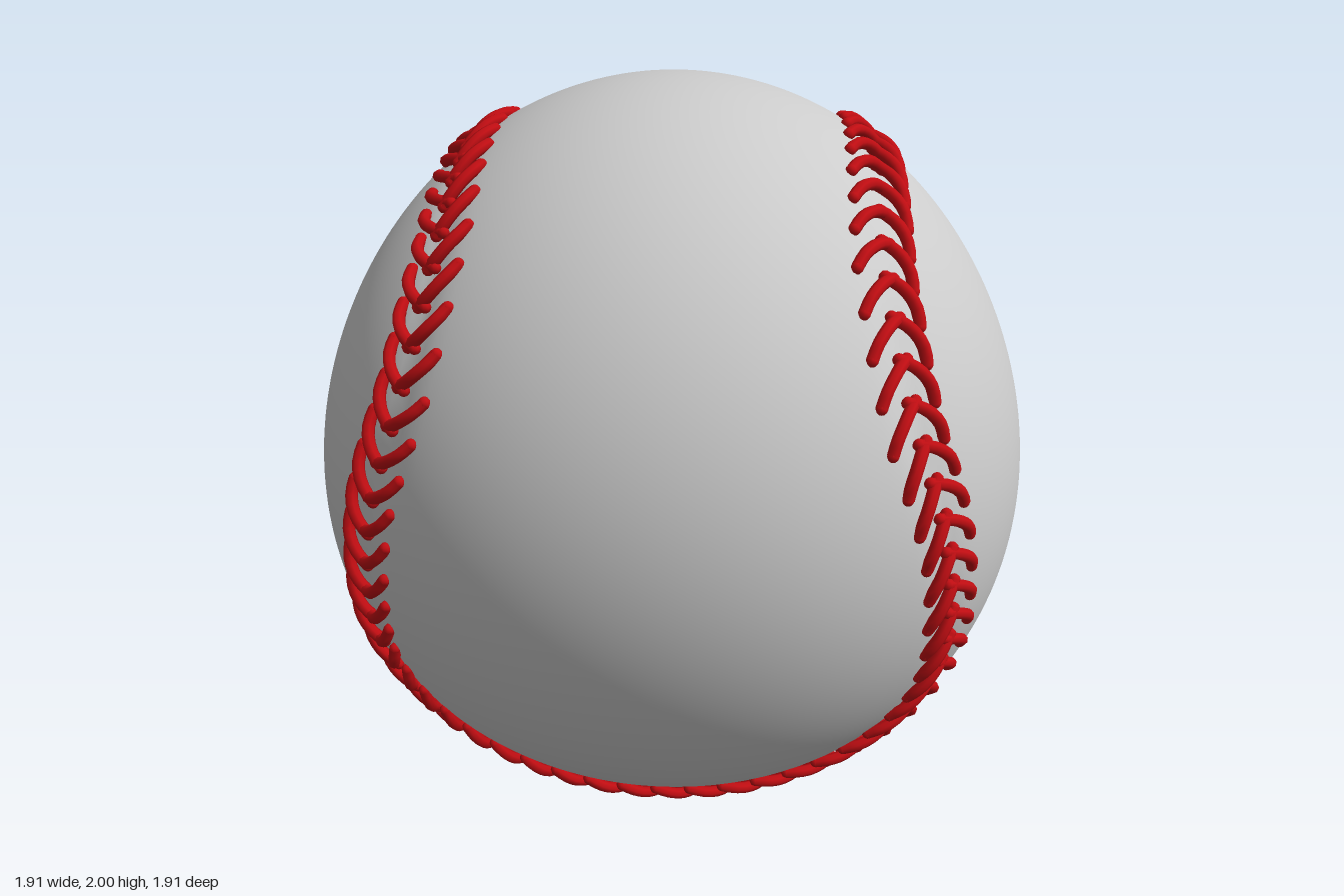
import * as THREE from 'three';
import { mergeGeometries, mergeVertices } from 'three/addons/utils/BufferGeometryUtils.js';

const STITCHES = 108;

// Seam: one eighth-pair of the closed loop, repeated by a quarter turn with an up/down flip.
function makeSeam() {
  const half = [[0.52, 0.85, 0], [0.52, 0.8, 0.3], [0.53, 0.66, 0.54], [0.585, 0.41, 0.7]];
  const quarter = [
    ...half,
    [0.707, 0, 0.707],
    ...half.slice(1).reverse().map(([x, y, z]) => [z, -y, x]),
  ];
  const points = [];
  let section = quarter;
  for (let i = 0; i < 4; i++) {
    section.forEach((p) => points.push(new THREE.Vector3(...p).normalize()));
    section = section.map(([x, y, z]) => [-z, -y, x]);
  }
  const curve = new THREE.CatmullRomCurve3(points, true, 'centripetal');
  curve.arcLengthDivisions = 1000;
  return curve;
}

// Radius of the leather in a unit direction, before the seam groove.
function leatherRadius(n) {
  const x2 = n.x * n.x, y2 = n.y * n.y, z2 = n.z * n.z;
  return 0.955 + 0.045 * y2 + 0.09 * x2 * z2 - 0.04 * n.y * (x2 - z2);
}

// Leather ball with a shallow groove along the seam.
function makeBall(seam) {
  const geo = new THREE.SphereGeometry(1, 180, 110);
  geo.deleteAttribute('uv');
  geo.deleteAttribute('normal');
  const ball = mergeVertices(geo, 1e-5);
  const samples = seam.getSpacedPoints(500);
  const pos = ball.attributes.position;
  const n = new THREE.Vector3();
  for (let i = 0; i < pos.count; i++) {
    n.fromBufferAttribute(pos, i).normalize();
    let d2 = Infinity;
    for (const s of samples) d2 = Math.min(d2, n.distanceToSquared(s));
    n.multiplyScalar(leatherRadius(n) - 0.01 * Math.exp(-d2 / 0.0016));
    pos.setXYZ(i, n.x, n.y, n.z);
  }
  ball.computeVertexNormals();
  return ball;
}

// One curved thread from the seam to its hole in the leather.
function makeThread(p, t, side) {
  const points = [];
  for (let k = 0; k <= 4; k++) {
    const f = k / 4;
    const dir = p.clone()
      .addScaledVector(side, -0.012 + 0.097 * Math.sin(f * 1.35))
      .addScaledVector(t, 0.105 * Math.pow(f, 1.25))
      .normalize();
    points.push(dir.multiplyScalar(leatherRadius(dir) + 0.004 + 0.013 * Math.sin(Math.PI * f)));
  }
  const radius = 0.015;
  const parts = [new THREE.TubeGeometry(new THREE.CatmullRomCurve3(points), 7, radius, 8, false)];
  for (const end of [points[0], points[4]]) {
    parts.push(new THREE.SphereGeometry(radius, 8, 6).translate(end.x, end.y, end.z));
  }
  return mergeGeometries(parts);
}

export function createModel() {
  const group = new THREE.Group();
  const seam = makeSeam();

  const ball = new THREE.Mesh(makeBall(seam), new THREE.MeshStandardMaterial({ color: 0xcccccc }));
  ball.name = 'leatherBall';
  group.add(ball);

  // V-shaped stitches, opening along the direction of the seam
  const threads = [];
  for (let i = 0; i < STITCHES; i++) {
    const u = i / STITCHES;
    const p = seam.getPointAt(u).normalize();
    const t = seam.getTangentAt(u);
    const side = new THREE.Vector3().crossVectors(p, t).normalize();
    threads.push(makeThread(p, t, side), makeThread(p, t, side.clone().negate()));
  }
  const stitches = new THREE.Mesh(
    mergeGeometries(threads),
    new THREE.MeshStandardMaterial({ color: 0xc00d12 }),
  );
  stitches.name = 'stitches';
  group.add(stitches);

  group.children.forEach((m) => { m.position.y = 1; });
  return group;
}
